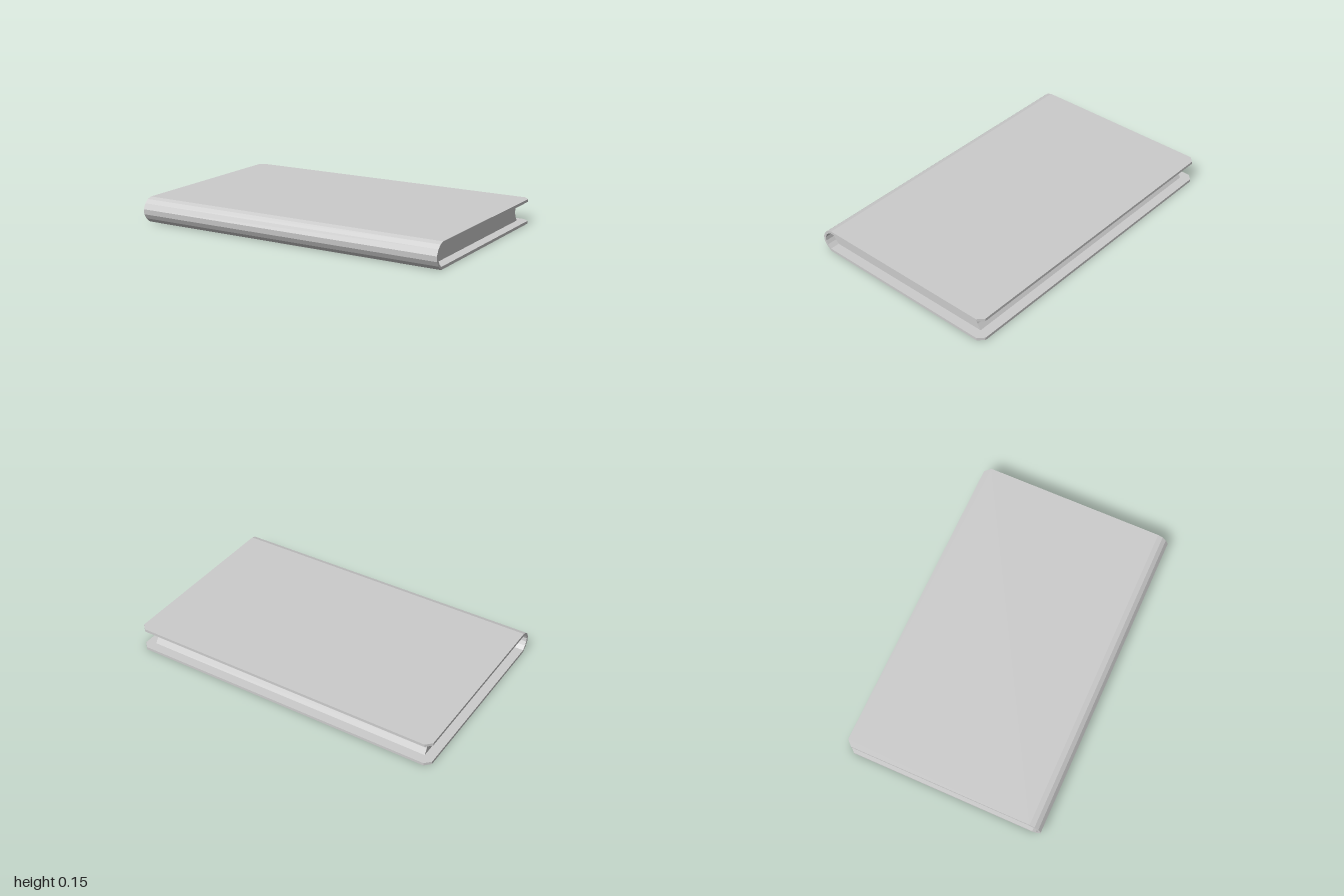
import * as THREE from 'three';

const HEIGHT = 0.154, THICK = 0.017, BACK = -0.625, CHAMFER = 0.035;
const TOP_HINGE = 0.553, BOTTOM_HINGE = 0.572;

// Rounded spine as [z, y] points, from top to bottom
const spineOuter = [
  [TOP_HINGE, HEIGHT], [0.584, 0.144], [0.608, 0.122], [0.625, 0.088],
  [0.622, 0.056], [0.605, 0.027], [BOTTOM_HINGE, 0],
];
const spineInner = [
  [TOP_HINGE, HEIGHT - THICK], [0.578, 0.129], [0.596, 0.112], [0.61, 0.084],
  [0.607, 0.06], [0.594, 0.038], [BOTTOM_HINGE, THICK],
];
// Hollow fore edge of the pages, from bottom to top
const foreEdge = [
  [-0.565, THICK], [-0.543, 0.051], [-0.535, 0.077], [-0.543, 0.103], [-0.565, HEIGHT - THICK],
];

const toShape = (points) => new THREE.Shape(points.map(([a, b]) => new THREE.Vector2(a, b)));

// Extrudes a [z, y] profile along x, centred on x = 0
function extrudeAlongX(points, length) {
  const geometry = new THREE.ExtrudeGeometry(toShape(points), { depth: length, bevelEnabled: false });
  return geometry.rotateY(-Math.PI / 2).translate(length / 2, 0, 0);
}

// Cover board with its two back corners cut off
function boardGeometry(hinge, topY) {
  const outline = [
    [-1, hinge], [-1, BACK + CHAMFER], [-1 + CHAMFER, BACK],
    [1 - CHAMFER, BACK], [1, BACK + CHAMFER], [1, hinge],
  ];
  const geometry = new THREE.ExtrudeGeometry(toShape(outline), { depth: THICK, bevelEnabled: false });
  return geometry.rotateX(Math.PI / 2).translate(0, topY, 0);
}

export function createModel() {
  const book = new THREE.Group();
  book.name = 'book';
  const material = new THREE.MeshStandardMaterial({ color: 0xcccccc });

  const add = (name, geometry) => {
    const mesh = new THREE.Mesh(geometry, material);
    mesh.name = name;
    book.add(mesh);
  };

  // Cover
  add('topCover', boardGeometry(TOP_HINGE, HEIGHT));
  add('bottomCover', boardGeometry(BOTTOM_HINGE, THICK));
  add('spine', extrudeAlongX([...spineOuter, ...[...spineInner].reverse()], 2));

  // Page block, set in from the ends of the cover
  add('pages', extrudeAlongX([...spineInner, ...foreEdge], 1.88));

  return book;
}
